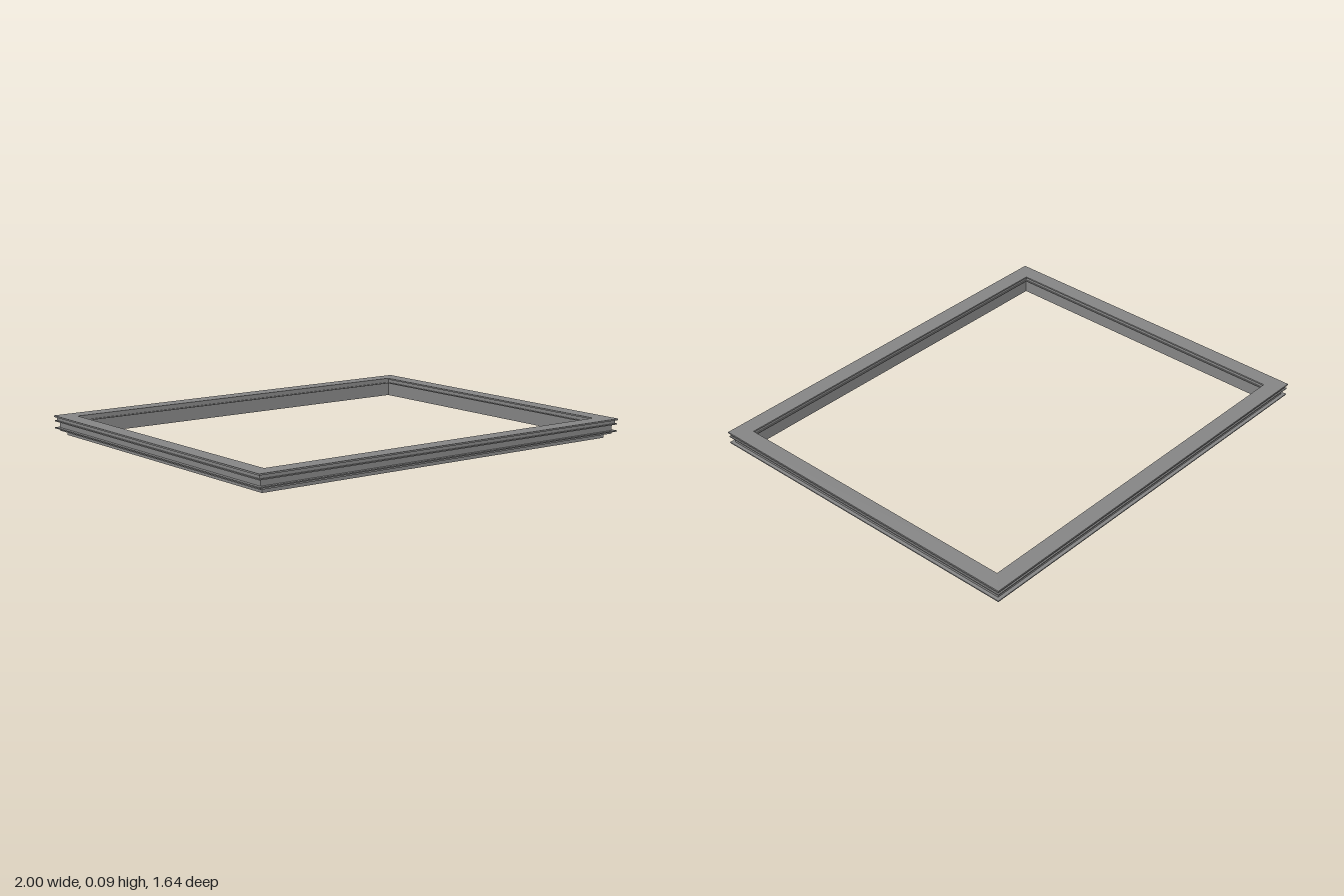
import * as THREE from 'three';

const HALF_X = 1, HALF_Z = 0.82;

// Moulding section as [inset from outer edge, height]: up the outside, down the inside
const PROFILE = [
  [0.045, 0], [0.045, 0.02], [0.02, 0.02], [0.02, 0.03],       // foot and lower step
  [0.003, 0.03], [0.003, 0.035], [0.02, 0.035], [0.02, 0.063], // middle fin and groove
  [0.003, 0.063], [0.003, 0.068], [0.01, 0.068], [0.01, 0.083], // upper fin and groove
  [0, 0.083], [0, 0.09], [0.08, 0.09], [0.08, 0.083],          // top face
  [0.074, 0.083], [0.074, 0.068], [0.08, 0.068], [0.08, 0.063], // inner lip
  [0.072, 0.063], [0.072, 0],                                  // inner wall
];

// Corner signs, counter-clockwise as seen from above
const CORNERS = [[-1, 1], [1, 1], [1, -1], [-1, -1]];
const NAMES = ['frontRail', 'leftRail', 'backRail', 'rightRail'];

// One mitred rail: the section swept from corner a to corner b
function railGeometry(a, b) {
  const at = ([sx, sz], [d, y]) => [sx * (HALF_X - d), y, sz * (HALF_Z - d)];
  const pos = [];
  PROFILE.forEach((p, i) => {
    const q = PROFILE[(i + 1) % PROFILE.length];
    const ap = at(a, p), bp = at(b, p), bq = at(b, q), aq = at(a, q);
    pos.push(...ap, ...bp, ...bq, ...ap, ...bq, ...aq);
  });
  const geometry = new THREE.BufferGeometry();
  geometry.setAttribute('position', new THREE.Float32BufferAttribute(pos, 3));
  geometry.computeVertexNormals();
  return geometry;
}

export function createModel() {
  const group = new THREE.Group();
  group.name = 'mouldedFrame';
  const material = new THREE.MeshStandardMaterial({ color: 0x868686 });
  NAMES.forEach((name, i) => {
    const rail = new THREE.Mesh(railGeometry(CORNERS[i], CORNERS[(i + 1) % 4]), material);
    rail.name = name;
    group.add(rail);
  });
  return group;
}
